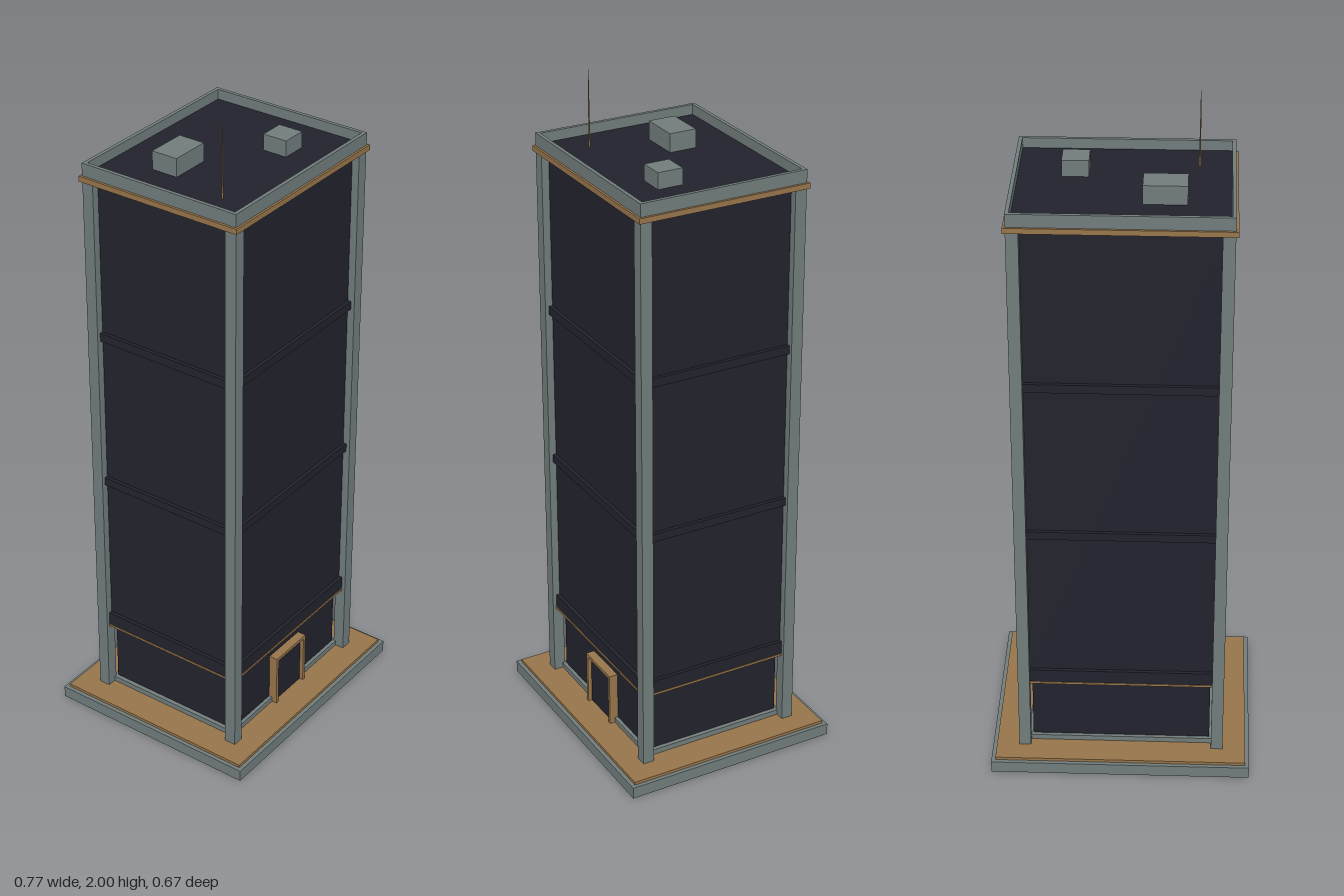
import * as THREE from 'three';

const material = (name, color) => {
  const m = new THREE.MeshStandardMaterial({ color });
  m.name = name;
  return m;
};

export function createModel() {
  const tower = new THREE.Group();
  tower.name = 'officeTower';
  const glass = material('darkGlass', 0x22222d);
  const stone = material('greyStone', 0x707c7b);
  const bronze = material('bronze', 0x96744a);

  // Box from its half width, half depth, bottom and top, centred on (x, z)
  const block = (name, mat, hx, hz, y0, y1, x = 0, z = 0) => {
    const mesh = new THREE.Mesh(new THREE.BoxGeometry(2 * hx, y1 - y0, 2 * hz), mat);
    mesh.position.set(x, (y0 + y1) / 2, z);
    mesh.name = name;
    tower.add(mesh);
    return mesh;
  };

  // Plaza
  block('plazaBase', stone, 0.385, 0.333, 0, 0.036);
  block('plazaPaving', bronze, 0.373, 0.321, 0.036, 0.045);

  // Recessed lobby under a bronze soffit
  block('lobbyPlinth', stone, 0.278, 0.228, 0.045, 0.061);
  block('lobby', glass, 0.265, 0.217, 0.061, 0.266);
  block('lobbySoffit', bronze, 0.296, 0.246, 0.266, 0.273);

  // Entrance
  block('door', glass, 0.066, 0.008, 0.045, 0.202, 0, 0.224);
  for (const side of [-1, 1]) {
    block('doorJamb', bronze, 0.005, 0.014, 0.045, 0.212, side * 0.07, 0.23);
  }
  block('doorLintel', bronze, 0.065, 0.014, 0.202, 0.212, 0, 0.23);

  // Glass shaft and its projecting floor bands
  block('shaft', glass, 0.283, 0.233, 0.273, 1.752);
  for (const [y0, y1] of [[0.273, 0.314], [0.777, 0.802], [1.26, 1.286]]) {
    block('floorBand', glass, 0.294, 0.244, y0, y1);
  }

  // Corner columns
  for (const sx of [-1, 1]) {
    for (const sz of [-1, 1]) {
      block('cornerColumn', stone, 0.0175, 0.0175, 0.045, 1.752, sx * 0.288, sz * 0.238);
    }
  }

  // Cornice, roof and parapet
  block('cornice', bronze, 0.313, 0.262, 1.752, 1.768);
  block('roof', glass, 0.298, 0.246, 1.768, 1.776);
  for (const s of [-1, 1]) {
    block('parapetLong', stone, 0.306, 0.0055, 1.768, 1.806, 0, s * 0.25);
    block('parapetShort', stone, 0.0055, 0.2445, 1.768, 1.806, s * 0.3005, 0);
  }

  // Rooftop plant and mast
  block('largePlantBox', stone, 0.061, 0.041, 1.776, 1.831, -0.115, -0.076);
  block('smallPlantBox', stone, 0.038, 0.038, 1.776, 1.824, 0.136, 0.092);
  const mast = new THREE.Mesh(new THREE.CylinderGeometry(0.001, 0.003, 0.224, 6), bronze);
  mast.position.set(-0.205, 1.888, 0.138);
  mast.name = 'mast';
  tower.add(mast);

  return tower;
}
